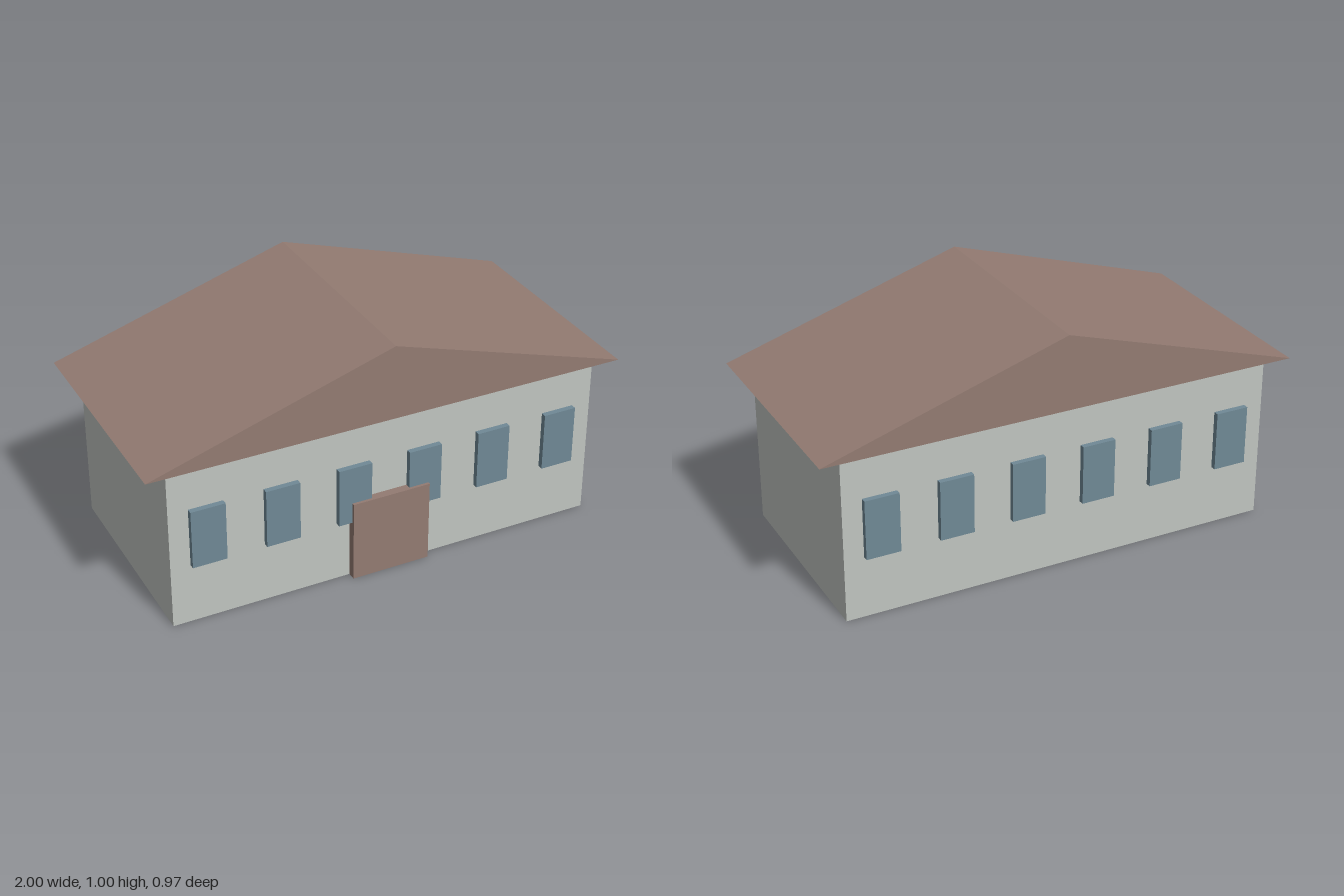
import * as THREE from 'three';

const material = (name, color) => {
  const m = new THREE.MeshStandardMaterial({ color });
  m.name = name;
  return m;
};

export function createModel() {
  const house = new THREE.Group();
  house.name = 'house';
  const wallPaint = material('pale grey wall', 0xc0c5c0);
  const brown = material('brown', 0x937b72);
  const glass = material('blue grey glass', 0x708996);

  const add = (name, geometry, mat, x = 0, y = 0, z = 0) => {
    const mesh = new THREE.Mesh(geometry, mat);
    mesh.name = name;
    mesh.position.set(x, y, z);
    house.add(mesh);
  };

  // Main block
  const wallTop = 0.69, wallZ = 0.443;
  add('walls', new THREE.BoxGeometry(1.814, wallTop, 2 * wallZ), wallPaint, 0, wallTop / 2, 0);

  // Gabled roof, a triangular prism overhanging the walls
  const gable = new THREE.Shape([
    new THREE.Vector2(-1, wallTop),
    new THREE.Vector2(1, wallTop),
    new THREE.Vector2(0, 1),
  ]);
  const roofDepth = 0.974;
  add('roof', new THREE.ExtrudeGeometry(gable, { depth: roofDepth, bevelEnabled: false }),
    brown, 0, 0, -roofDepth / 2);

  // Six windows along the front and six along the back
  const pane = new THREE.BoxGeometry(0.14, 0.247, 0.046);
  for (const side of [1, -1]) {
    for (let i = 0; i < 6; i++) {
      add(side > 0 ? 'frontWindow' : 'backWindow', pane, glass, (i - 2.5) * 0.3025, 0.38, side * wallZ);
    }
  }

  // Front door
  add('door', new THREE.BoxGeometry(0.33, 0.345, 0.07), brown, 0, 0.1725, wallZ);

  return house;
}
